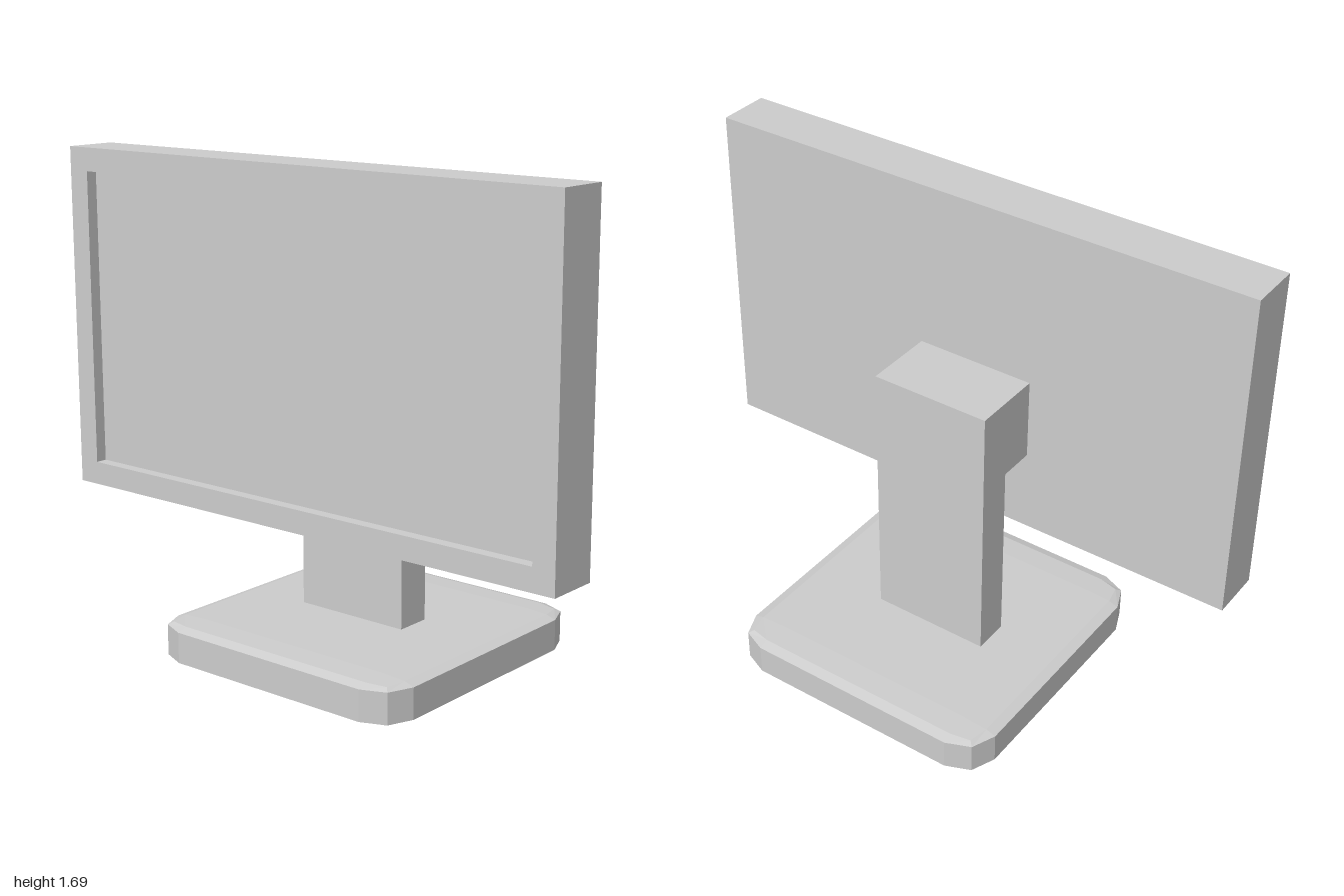
import * as THREE from 'three';
import { RoundedBoxGeometry } from 'three/addons/geometries/RoundedBoxGeometry.js';

export function createModel() {
  const group = new THREE.Group();
  const grey = new THREE.MeshStandardMaterial({ color: 0xcccccc, flatShading: true });
  grey.name = 'light grey plastic';

  const add = (name, geometry, x, y, z) => {
    const mesh = new THREE.Mesh(geometry, grey);
    mesh.name = name;
    mesh.position.set(x, y, z);
    group.add(mesh);
  };

  // Base: a bevelled cube squashed into a slab
  const base = new RoundedBoxGeometry(1.02, 1.02, 1.02, 1, 0.12);
  base.scale(1, 0.14 / 1.02, 1);
  add('base', base, 0, 0.07, 0);

  // Stand: upright and arm as one L-shaped profile, extruded along z
  const profile = [[-0.05, 0.13], [0.077, 0.13], [0.077, 1.1], [-0.18, 1.1], [-0.18, 0.81], [-0.05, 0.81]];
  const standShape = new THREE.Shape(profile.map(([x, y]) => new THREE.Vector2(x, y)));
  add('stand', new THREE.ExtrudeGeometry(standShape, { depth: 0.43, bevelEnabled: false }), 0, 0, -0.238);

  // Screen body: its -x face is the recessed display
  const width = 2, height = 1.176, recess = 0.04, border = 0.08;
  const front = -0.366, back = -0.181, midY = 1.1;
  const bodyDepth = back - front - recess;
  add('screenBody', new THREE.BoxGeometry(bodyDepth, height, width), back - bodyDepth / 2, midY, 0);

  // Raised border around the display, extruded toward -x
  const rectangle = (Type, w, h) => new Type([[-w, -h], [w, -h], [w, h], [-w, h]]
    .map(([x, y]) => new THREE.Vector2(x / 2, y / 2)));
  const frameShape = rectangle(THREE.Shape, width, height);
  frameShape.holes.push(rectangle(THREE.Path, width - border * 2, height - border * 2));
  const frame = new THREE.ExtrudeGeometry(frameShape, { depth: recess, bevelEnabled: false });
  frame.rotateY(-Math.PI / 2);
  add('screenFrame', frame, front + recess, midY, 0);

  return group;
}
